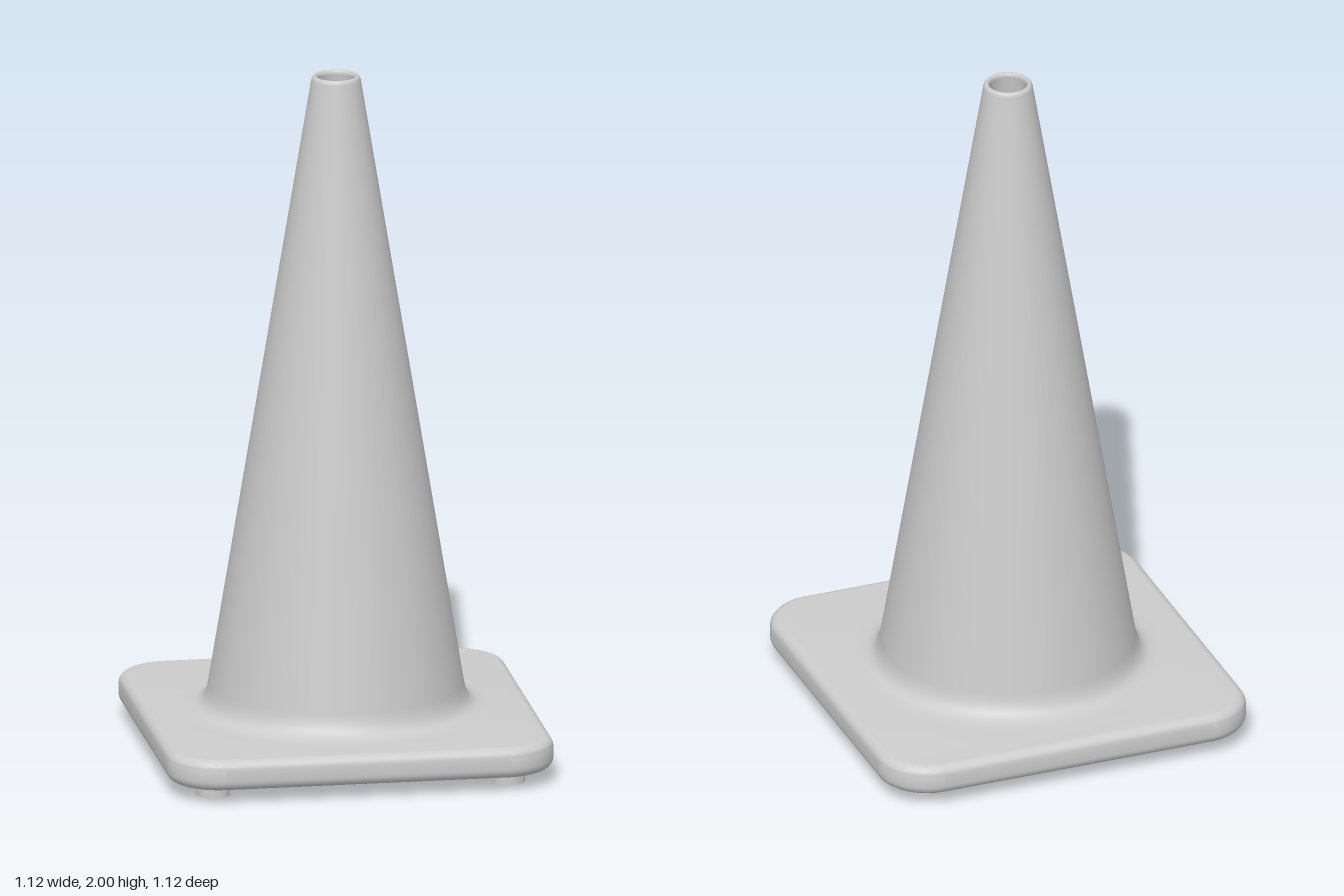
import * as THREE from 'three';
import { toCreasedNormals } from 'three/addons/utils/BufferGeometryUtils.js';

const BASE_BOTTOM = 0.04, BASE_TOP = 0.13, BASE_HALF = 0.56;

// Square outline with rounded corners
function roundedSquare(h, r) {
  const s = new THREE.Shape();
  s.absarc(h - r, h - r, r, 0, Math.PI / 2);
  s.absarc(r - h, h - r, r, Math.PI / 2, Math.PI);
  s.absarc(r - h, r - h, r, Math.PI, Math.PI * 1.5);
  s.absarc(h - r, r - h, r, Math.PI * 1.5, Math.PI * 2);
  s.closePath();
  return s;
}

export function createModel() {
  const model = new THREE.Group();
  const material = new THREE.MeshStandardMaterial({ color: 0xcccccc });
  const shellMaterial = new THREE.MeshStandardMaterial({ color: 0xcccccc, side: THREE.DoubleSide });

  const add = (name, geometry, mat = material) => {
    const mesh = new THREE.Mesh(geometry, mat);
    mesh.name = name;
    model.add(mesh);
    return mesh;
  };

  // Base plate with softly rolled edges
  const bevel = 0.03;
  const plate = new THREE.ExtrudeGeometry(roundedSquare(BASE_HALF - bevel, 0.12), {
    depth: BASE_TOP - BASE_BOTTOM - 2 * bevel,
    bevelEnabled: true, bevelSize: bevel, bevelThickness: bevel, bevelSegments: 6, curveSegments: 12,
  });
  plate.rotateX(-Math.PI / 2);
  plate.translate(0, BASE_BOTTOM + bevel, 0);
  add('basePlate', toCreasedNormals(plate, 0.6));

  // Hollow cone: fillet at the foot, straight wall, rounded lip, inner wall
  const fillet = new THREE.CubicBezierCurve(
    new THREE.Vector2(0.45, BASE_TOP), new THREE.Vector2(0.4, BASE_TOP + 0.002),
    new THREE.Vector2(0.377, 0.138), new THREE.Vector2(0.366, 0.2));
  const lip = new THREE.CubicBezierCurve(
    new THREE.Vector2(0.071, 1.985), new THREE.Vector2(0.069, 2),
    new THREE.Vector2(0.055, 2.005), new THREE.Vector2(0.053, 1.985));
  const profile = [...fillet.getPoints(10), ...lip.getPoints(8), new THREE.Vector2(0.34, BASE_TOP)];
  add('cone', new THREE.LatheGeometry(profile, 64), shellMaterial);

  // Four round feet under the corners
  for (const x of [-1, 1]) {
    for (const z of [-1, 1]) {
      const foot = add('foot', new THREE.CylinderGeometry(0.048, 0.048, 0.05, 32));
      foot.position.set(x * 0.428, 0.025, z * 0.428);
    }
  }
  return model;
}
